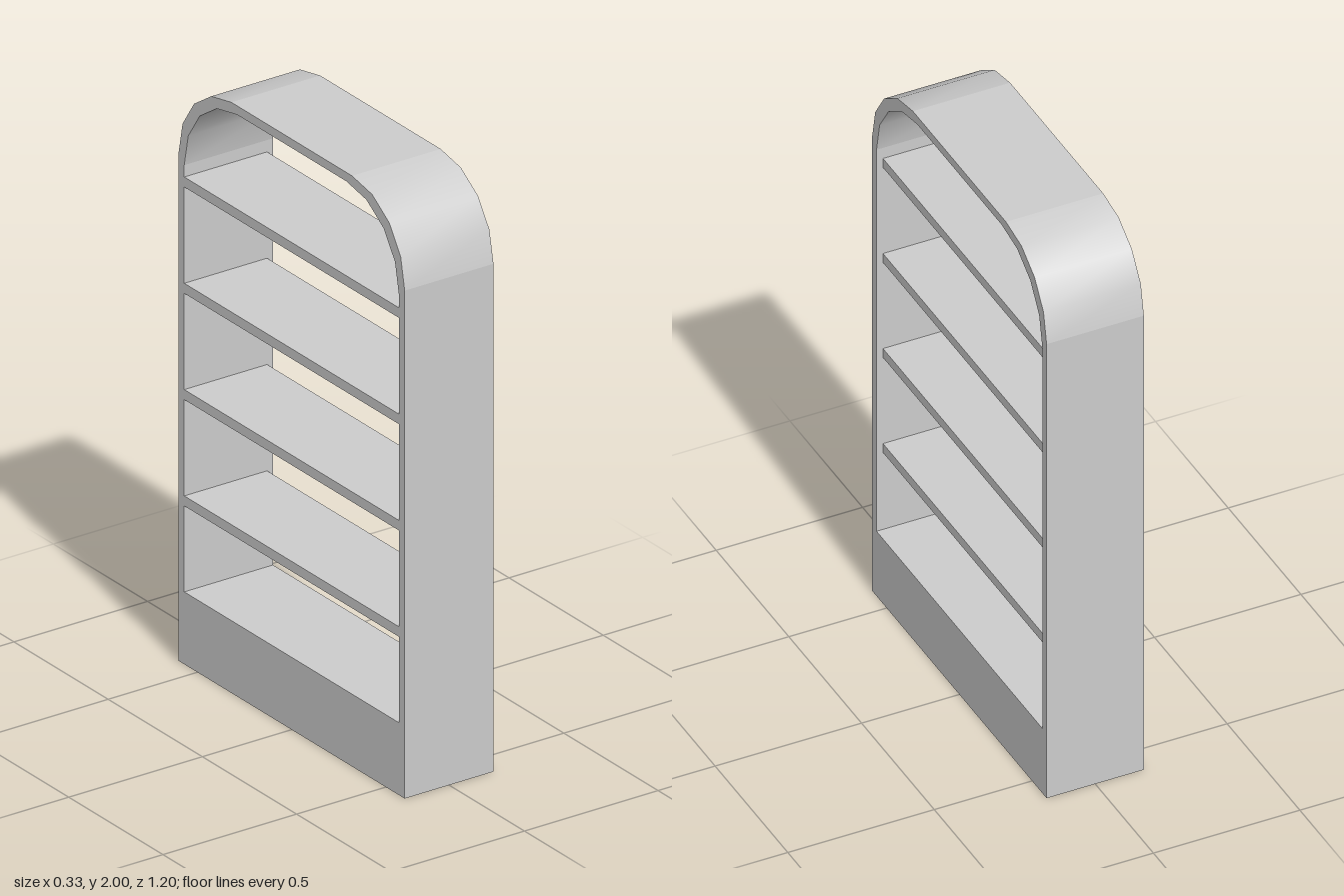
import * as THREE from 'three';
import { toCreasedNormals } from 'three/addons/utils/BufferGeometryUtils.js';

const HALF_W = 0.6, HEIGHT = 2, DEPTH = 0.332, WALL = 0.03, RADIUS = 0.28, BASE_H = 0.245;

export function createModel() {
  const model = new THREE.Group();
  const material = new THREE.MeshStandardMaterial({ color: 0xcccccc });

  function add(name, geometry, x = 0, y = 0, z = 0) {
    const mesh = new THREE.Mesh(geometry, material);
    mesh.name = name;
    mesh.position.set(x, y, z);
    model.add(mesh);
  }

  // Extrudes a (z, y) outline across the depth of the case, which runs along x
  function extrudeOutline(points) {
    const shape = new THREE.Shape(points.map(([z, y]) => new THREE.Vector2(z, y)));
    const geometry = new THREE.ExtrudeGeometry(shape, { depth: DEPTH, bevelEnabled: false });
    geometry.translate(0, 0, -DEPTH / 2).rotateY(-Math.PI / 2);
    return toCreasedNormals(geometry, 0.6);
  }

  // Four-segment quarter arc, inset by the wall thickness for the inner face
  function arc(side, inset) {
    const points = [];
    for (let i = 0; i <= 4; i++) {
      const a = (i / 4) * Math.PI / 2;
      points.push([
        side * (HALF_W - RADIUS - inset + RADIUS * Math.cos(a)),
        HEIGHT - RADIUS - inset + RADIUS * Math.sin(a),
      ]);
    }
    return points;
  }

  // Solid plinth
  add('base', new THREE.BoxGeometry(DEPTH, BASE_H, 2 * HALF_W), 0, BASE_H / 2, 0);

  // Side walls and rounded upper corners
  const shoulder = HEIGHT - RADIUS, inner = HALF_W - WALL;
  for (const side of [1, -1]) {
    const label = side > 0 ? 'front' : 'back';
    add(label + 'Wall', extrudeOutline([
      [side * HALF_W, BASE_H], [side * HALF_W, shoulder],
      [side * inner, shoulder - WALL], [side * inner, BASE_H],
    ]));
    add(label + 'Corner', extrudeOutline([...arc(side, 0), ...arc(side, WALL).reverse()]));
  }

  // Flat top between the corners
  const flat = HALF_W - RADIUS;
  add('top', extrudeOutline([
    [-flat, HEIGHT], [flat, HEIGHT], [flat - WALL, HEIGHT - WALL], [WALL - flat, HEIGHT - WALL],
  ]));

  // Four shelves, set back from the +x opening
  const setback = 0.022, shelfH = 0.034;
  for (let i = 0; i < 4; i++) {
    add('shelf' + (i + 1), new THREE.BoxGeometry(DEPTH - setback, shelfH, 2 * inner),
      -setback / 2, 0.553 + i * 0.36, 0);
  }
  return model;
}
